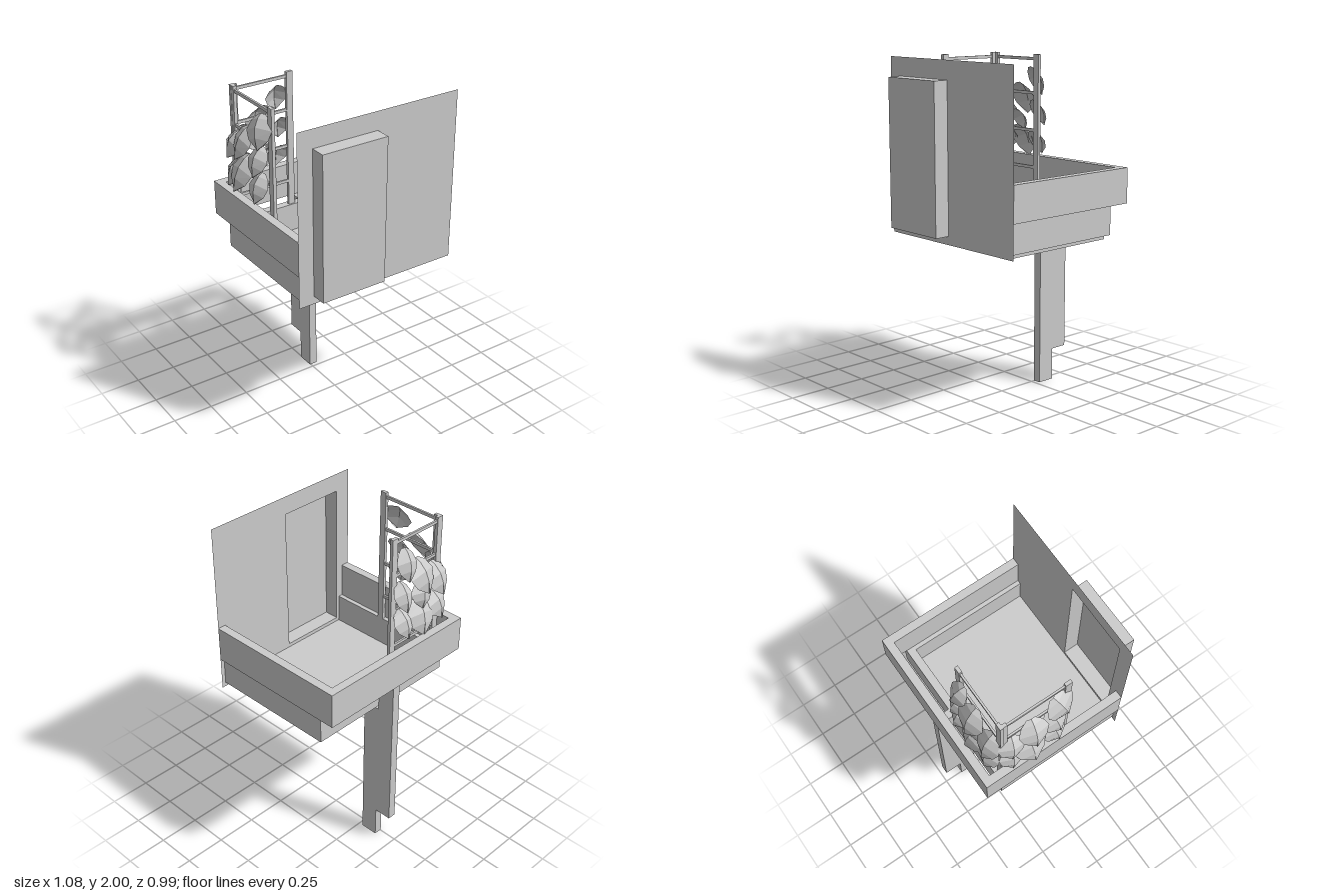
import * as THREE from 'three';

const solid = new THREE.MeshStandardMaterial({ color: 0xcccccc, flatShading: true });
const thin = new THREE.MeshStandardMaterial({ color: 0xcccccc, flatShading: true, side: THREE.DoubleSide });

// Box given by its limits on each axis
function box(parent, name, [x0, x1], [y0, y1], [z0, z1]) {
  const mesh = new THREE.Mesh(new THREE.BoxGeometry(x1 - x0, y1 - y0, z1 - z0), solid);
  mesh.position.set((x0 + x1) / 2, (y0 + y1) / 2, (z0 + z1) / 2);
  mesh.name = name;
  parent.add(mesh);
  return mesh;
}

// Unit leaf: rows from stem to tip, folded along a raised midrib
function leafGeometry() {
  const rows = [[0.5, 0.14, 0], [0.36, 0.36, 0.1], [0.1, 0.5, 0.17], [-0.18, 0.38, 0.13], [-0.5, 0, 0]];
  const positions = [], index = [];
  rows.forEach(([y, half, rise]) => {
    positions.push(-half, y - half * 0.12, rise * 0.2 - 0.04, 0, y, rise, half, y - half * 0.12, rise * 0.2 - 0.04);
  });
  for (let r = 0; r < rows.length - 1; r++) {
    for (let c = 0; c < 2; c++) {
      const a = r * 3 + c, b = a + 3;
      index.push(a, b, a + 1);
      if (r < rows.length - 2) index.push(b, b + 1, a + 1);
      else index.push(a + 1, b, b + 1);
    }
  }
  const g = new THREE.BufferGeometry();
  g.setAttribute('position', new THREE.Float32BufferAttribute(positions, 3));
  g.setIndex(index);
  g.computeVertexNormals();
  return g;
}

// Trellis panel along local x, with leaves on its +z side
function trellis(name, u0, u1, leaves, geometry) {
  const group = new THREE.Group();
  group.name = name;
  for (const u of [u0, u1 - 0.04]) box(group, 'trellisPost', [u, u + 0.04], [1.1, 2], [-0.01, 0.01]);
  for (const y of [1.1, 1.32, 1.545, 1.77, 1.973]) {
    box(group, 'trellisRung', [u0 + 0.03, u1 - 0.03], [y - 0.009, y + 0.009], [-0.006, 0.006]);
  }
  leaves.forEach(([u, y, width, height, out, roll], i) => {
    const leaf = new THREE.Mesh(geometry, thin);
    leaf.name = 'leaf';
    leaf.position.set(u, y, out);
    leaf.rotation.set(-0.42 - 0.05 * (i % 3), roll * 0.6, roll);
    leaf.scale.set(width, height, 0.2);
    group.add(leaf);
  });
  return group;
}

export function createModel() {
  const model = new THREE.Group();

  // Front wall with a door opening
  const shape = new THREE.Shape([[-0.51, 0.965], [0.53, 0.965], [0.53, 2], [-0.51, 2]].map(p => new THREE.Vector2(...p)));
  shape.holes.push(new THREE.Path([[-0.415, 1.015], [-0.415, 1.89], [-0.005, 1.89], [-0.005, 1.015]].map(p => new THREE.Vector2(...p))));
  const wall = new THREE.Mesh(new THREE.ShapeGeometry(shape), thin);
  wall.position.z = 0.403;
  wall.name = 'frontWall';
  model.add(wall);

  // Door niche: a shell open towards the back
  const door = box(model, 'doorNiche', [-0.415, -0.005], [1.015, 1.89], [0.403, 0.495]);
  door.geometry.setIndex(Array.from(door.geometry.index.array).slice(0, 30));
  door.geometry.clearGroups();
  door.material = thin;

  // Upper rim
  const rim = new THREE.Group();
  rim.name = 'rim';
  for (const x of [-0.51, 0.48]) box(rim, 'rimSide', [x, x + 0.05], [1.165, 1.375], [-0.495, 0.403]);
  box(rim, 'rimBack', [-0.46, 0.48], [1.165, 1.375], [-0.495, -0.445]);
  model.add(rim);

  // Lower tray
  const tray = new THREE.Group();
  tray.name = 'tray';
  for (const x of [-0.483, 0.455]) box(tray, 'traySide', [x, x + 0.05], [0.99, 1.165], [-0.383, 0.403]);
  box(tray, 'trayBack', [-0.433, 0.455], [0.99, 1.165], [-0.383, -0.335]);
  box(tray, 'trayFloor', [-0.458, 0.48], [0.965, 0.992], [-0.36, 0.403]);
  model.add(tray);

  // Support post made of two staggered boards
  box(model, 'innerPost', [-0.005, 0.045], [0, 0.965], [-0.383, -0.275]);
  box(model, 'outerPost', [-0.005, 0.045], [0.195, 1.165], [-0.49, -0.383]);

  // Trellises meeting at the back corner; leaf: along, height, width, length, outward, roll
  const geometry = leafGeometry();
  const side = trellis('sideTrellis', -0.36, 0.073, [
    [-0.01, 1.85, 0.19, 0.2, 0.04, 0.3],
    [-0.18, 1.73, 0.18, 0.21, 0.05, -0.1],
    [-0.04, 1.665, 0.16, 0.18, 0.04, 0.15],
    [-0.31, 1.67, 0.16, 0.18, 0.035, -0.2],
    [-0.04, 1.505, 0.16, 0.18, 0.04, 0.15],
    [-0.2, 1.54, 0.2, 0.23, 0.05, 0],
    [-0.31, 1.5, 0.15, 0.18, 0.035, -0.15],
  ], geometry);
  side.position.x = -0.443;
  side.rotation.y = -Math.PI / 2;
  model.add(side);

  const back = trellis('backTrellis', 0.055, 0.455, [
    [0.13, 1.84, 0.14, 0.19, 0.05, -0.15],
    [0.25, 1.73, 0.19, 0.22, 0.06, 0.1],
    [0.11, 1.65, 0.13, 0.18, 0.05, -0.1],
    [0.265, 1.595, 0.14, 0.15, 0.045, -0.2],
    [0.39, 1.655, 0.17, 0.21, 0.05, 0.1],
    [0.12, 1.475, 0.14, 0.18, 0.05, 0],
    [0.25, 1.47, 0.2, 0.22, 0.06, -0.1],
    [0.39, 1.49, 0.17, 0.19, 0.05, 0.15],
  ], geometry);
  back.position.z = -0.354;
  back.rotation.y = Math.PI;
  model.add(back);

  return model;
}
